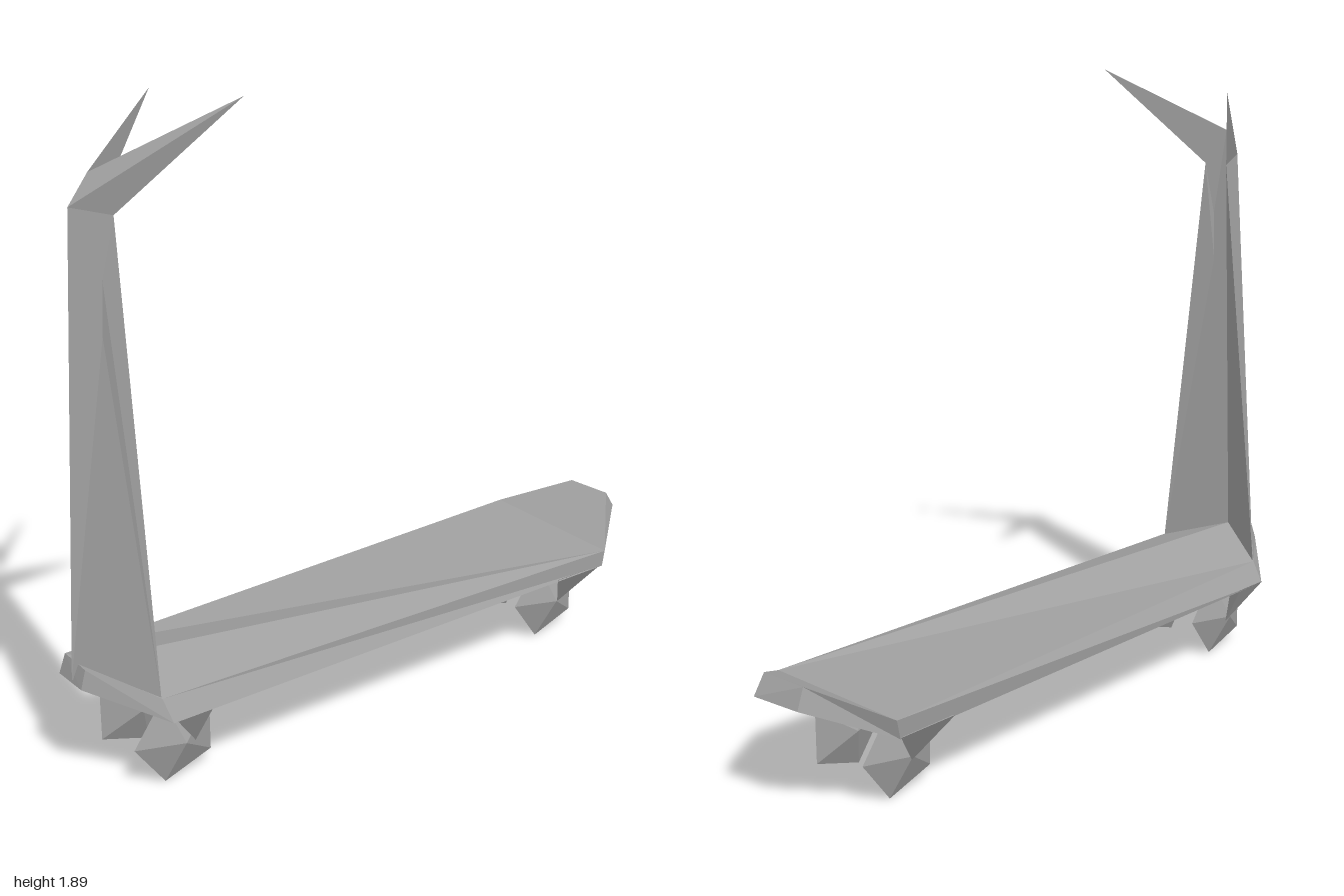
import * as THREE from 'three';
import { ConvexGeometry } from 'three/addons/geometries/ConvexGeometry.js';

const material = new THREE.MeshStandardMaterial({ color: 0xa0a0a0, flatShading: true, side: THREE.DoubleSide });

function addMesh(parent, name, geometry) {
  const mesh = new THREE.Mesh(geometry, material);
  mesh.name = name;
  parent.add(mesh);
  return mesh;
}

// Flat-faced skin over matching cross-sections, closed at both ends.
function loft(sections) {
  const n = sections[0].length;
  const verts = [];
  const tri = (a, b, c) => {
    if (a !== b && b !== c && c !== a) verts.push(...a, ...b, ...c);
  };
  for (let s = 0; s < sections.length - 1; s++) {
    const a = sections[s], b = sections[s + 1];
    for (let i = 0; i < n; i++) {
      const j = (i + 1) % n;
      tri(a[i], a[j], b[j]);
      tri(a[i], b[j], b[i]);
    }
  }
  const first = sections[0], last = sections[sections.length - 1];
  for (let i = 1; i < n - 1; i++) {
    tri(first[0], first[i + 1], first[i]);
    tri(last[0], last[i], last[i + 1]);
  }
  const geometry = new THREE.BufferGeometry();
  geometry.setAttribute('position', new THREE.Float32BufferAttribute(verts, 3));
  geometry.computeVertexNormals();
  return geometry;
}

const hull = (points) => new ConvexGeometry(points.map((p) => new THREE.Vector3(...p)));

// Deck section: back top, ridge, front top, front bottom, back bottom.
// Without a ridge point, the ridge runs out into the front top corner.
function deckSection(backTop, frontTop, frontBottom, backBottom, ridge = frontTop) {
  return [backTop, ridge, frontTop, frontBottom, backBottom];
}

export function createModel() {
  const model = new THREE.Group();
  model.name = 'scooter';

  // Deck with upturned nose and tail; its top is a shallow fan from the stem foot
  addMesh(model, 'deck', loft([
    deckSection([-0.985, 0.385, -0.06], [-0.985, 0.38, 0.05],
      [-1, 0.325, 0.05], [-1, 0.325, -0.07], [-0.985, 0.383, 0]),
    deckSection([-0.83, 0.31, -0.19], [-0.84, 0.31, 0.2],
      [-0.83, 0.25, 0.238], [-0.82, 0.25, -0.232], [-0.94, 0.375, 0]),
    deckSection([0.79, 0.31, -0.25], [0.785, 0.3, 0.25],
      [0.775, 0.25, 0.25], [0.775, 0.25, -0.245]),
    deckSection([0.95, 0.4, -0.07], [0.96, 0.4, 0.08],
      [1, 0.345, 0.075], [0.975, 0.34, -0.075]),
  ]));

  // Upright stem: a V-shaped section (spine, front edge, valley, back edge) tapering upward
  const spineTop = [-0.93, 1.62, 0];
  const frontTop = [-0.83, 1.595, 0.05];
  const backTop = [-0.82, 1.595, -0.04];
  const crown = [-0.87, 1.7, 0];
  addMesh(model, 'stem', loft([
    [[-1, 0.335, 0], [-0.84, 0.308, 0.195], [-0.94, 0.374, 0], [-0.83, 0.308, -0.187]],
    [spineTop, frontTop, crown, backTop],
  ]));

  // Pointed handlebars sweeping up and out
  addMesh(model, 'frontHandlebar', hull([spineTop, frontTop, crown, [-0.57, 1.89, 0.253]]));
  addMesh(model, 'backHandlebar', hull([spineTop, backTop, crown, [-0.53, 1.845, -0.256]]));

  // Five-sided double-cone wheels and their wedge brackets
  const axles = [
    { name: 'noseWheel', x: -0.753, top: [-0.82, -0.7], apex: -0.72, edge: 0.235 },
    { name: 'tailWheel', x: 0.655, top: [0.58, 0.775], apex: 0.665, edge: 0.248 },
  ];
  const hubProfile = [[0, -0.052], [0.135, 0], [0, 0.052]].map((p) => new THREE.Vector2(...p));
  for (const axle of axles) {
    for (const side of [-1, 1]) {
      const geometry = new THREE.LatheGeometry(hubProfile, 5);
      geometry.rotateX(Math.PI / 2);
      geometry.rotateZ(-side * Math.PI / 10);
      const wheel = addMesh(model, axle.name, geometry);
      wheel.position.set(axle.x, 0.13, side > 0 ? 0.12 : -0.107);

      addMesh(model, axle.name + 'Bracket', hull([
        [axle.top[0], 0.255, axle.edge * side],
        [axle.top[1], 0.255, axle.edge * side],
        [axle.apex, 0.255, 0.185 * side],
        [axle.apex, 0.125, 0.165 * side],
      ]));
    }
  }

  return model;
}
